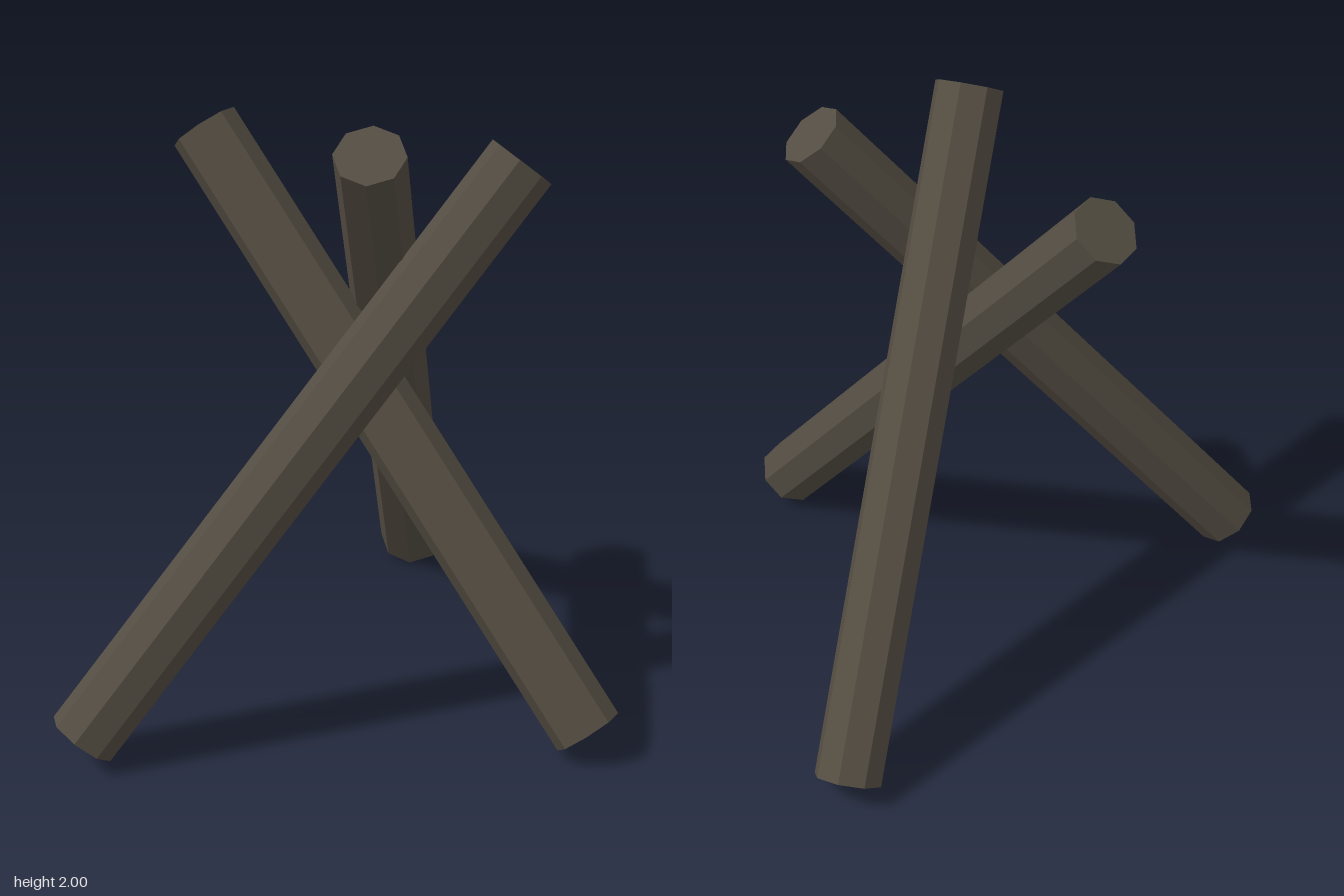
import * as THREE from 'three';

// Three crossed octagonal logs leaning together
const LENGTH = 2.282;
const RADIUS = 0.114;

export function createModel() {
  const group = new THREE.Group();
  group.name = 'leaningLogs';

  const bark = new THREE.MeshStandardMaterial({ color: 0x544d42, flatShading: true });
  bark.name = 'darkWood';
  const logShape = new THREE.CylinderGeometry(RADIUS, RADIUS, LENGTH, 8);

  // name, centre, tilt about x and z in degrees
  const logs = [
    ['backLog', [0.08, 1.0, -0.182], 35, 0],
    ['rightLog', [-0.137, 0.962, 0.503], -20, -35],
    ['leftLog', [0.137, 0.962, 0.262], -20, 35],
  ];
  for (const [name, centre, tiltX, tiltZ] of logs) {
    const log = new THREE.Mesh(logShape, bark);
    log.name = name;
    log.position.set(...centre);
    log.rotation.set(THREE.MathUtils.degToRad(tiltX), 0, THREE.MathUtils.degToRad(tiltZ));
    group.add(log);
  }
  return group;
}
